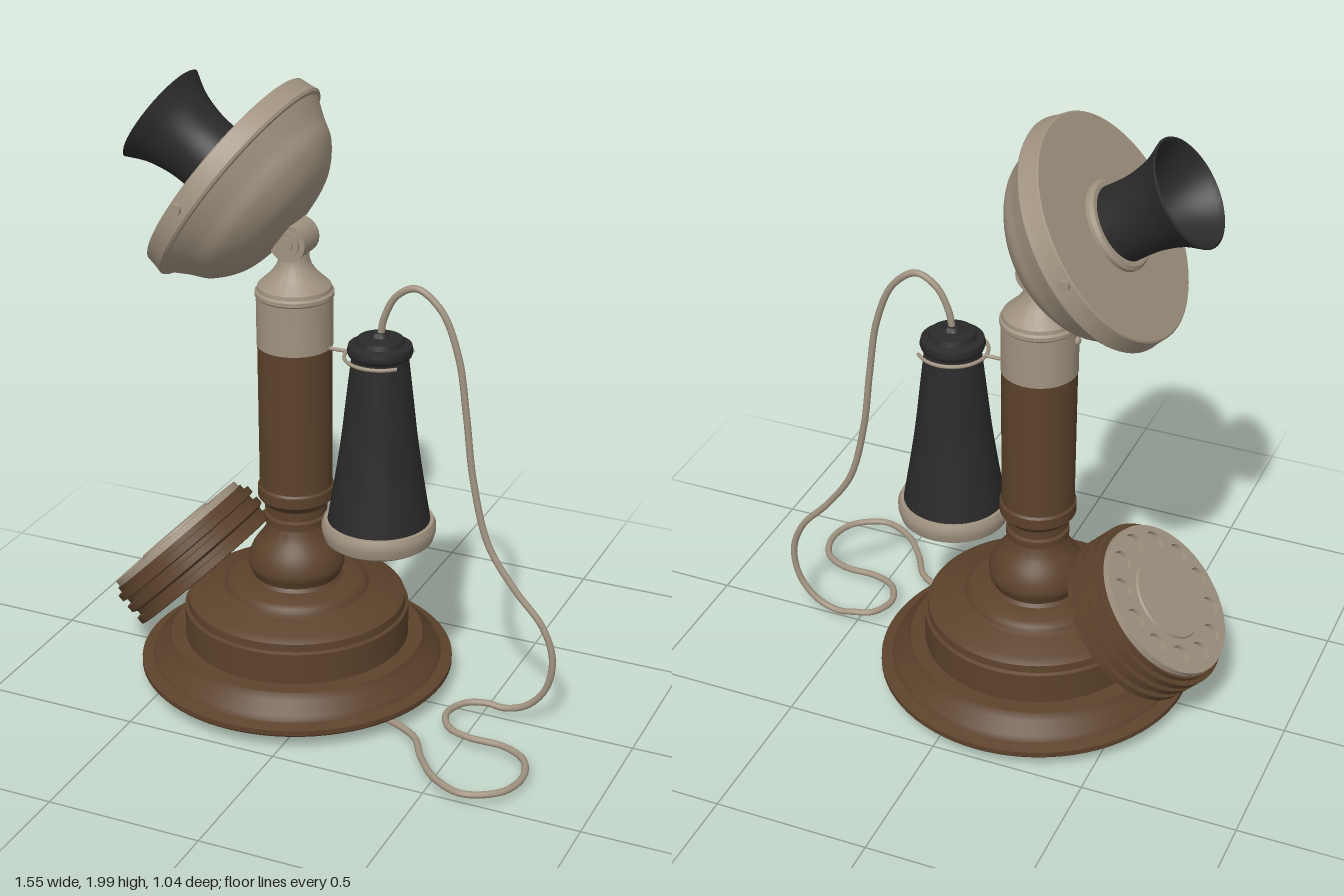
import * as THREE from 'three';
import { toCreasedNormals } from 'three/addons/utils/BufferGeometryUtils.js';

const brown = new THREE.MeshStandardMaterial({ color: 0x5c422b });
const beige = new THREE.MeshStandardMaterial({ color: 0xa09280 });
const black = new THREE.MeshStandardMaterial({ color: 0x2a2a2a });
brown.name = 'brown wood';
beige.name = 'beige metal';
black.name = 'black rubber';

const AXIS_X = -0.155, AXIS_Z = -0.014, RX = 0.132;

function add(parent, name, geometry, material, x = 0, y = 0, z = 0) {
  const mesh = new THREE.Mesh(geometry, material);
  mesh.name = name;
  mesh.position.set(x, y, z);
  parent.add(mesh);
  return mesh;
}

function group(parent, name, x, y, z, tilt = 0) {
  const g = new THREE.Group();
  g.name = name;
  g.position.set(x, y, z);
  g.rotation.z = tilt;
  parent.add(g);
  return g;
}

// Turned part from [radius, height] pairs, listed from bottom to top
function turned(points, segments = 64) {
  const pts = points.map(([r, y]) => new THREE.Vector2(r, y));
  return toCreasedNormals(new THREE.LatheGeometry(pts, segments), 0.6);
}

// Smooth [radius, height] pairs through a spline
function smooth(points, n = 24) {
  const curve = new THREE.SplineCurve(points.map(([r, y]) => new THREE.Vector2(r, y)));
  return curve.getPoints(n).map(p => [Math.max(p.x, 0), p.y]);
}

function tube(points, radius, segments) {
  const curve = new THREE.CatmullRomCurve3(points.map(p => new THREE.Vector3(...p)));
  return new THREE.TubeGeometry(curve, segments, radius, 10);
}

// Short pin lying along z
function pin(r, length) {
  return new THREE.CylinderGeometry(r, r, length, 24).rotateX(Math.PI / 2);
}

function addStand(root) {
  const stand = group(root, 'stand', AXIS_X, 0, AXIS_Z);
  add(stand, 'base', turned([
    [0, 0.055], [0.5, 0.055], [0.506, 0.062], [0.506, 0.078], [0.47, 0.088], [0.462, 0.105],
    [0.42, 0.135], [0.41, 0.158], [0.362, 0.162], [0.362, 0.265], [0.352, 0.27], [0.35, 0.295],
    [0.33, 0.31], [0.25, 0.325], [0.232, 0.335], [0.225, 0.35], [0.21, 0.36], [0.15, 0.368],
    [0.14, 0.38], [0, 0.38],
  ], 80), brown);
  add(stand, 'column', turned([
    [0, 0.37], [0.14, 0.375], ...smooth([[0.145, 0.39], [0.155, 0.42], [0.14, 0.47], [0.105, 0.52], [0.09, 0.555]], 14),
    [0.1, 0.56], [0.1, 0.585], [0.09, 0.59], [0.09, 0.6], [0.1, 0.605], [0.1, 0.625], [0.108, 0.635],
    [0.121, 0.65], [0.121, 0.685], [0.115, 0.692], [0.117, 1.17], [0, 1.17],
  ]), brown);
  add(stand, 'collar', turned([
    [0, 1.165], [0.119, 1.165], [0.119, 1.325], [0.123, 1.33], [0.123, 1.342], [0.116, 1.348],
    [0.114, 1.36], [0.095, 1.378], [0.072, 1.4], [0.055, 1.425], [0.046, 1.45], [0.046, 1.49], [0, 1.49],
  ]), beige);
  add(stand, 'collarButton', new THREE.SphereGeometry(0.015, 16, 10), beige, -0.117, 1.29, 0);

  // Hinge knuckle with a screw on both sides
  add(stand, 'hinge', pin(0.06, 0.108), beige, 0, 1.508, 0);
  for (const s of [-1, 1]) {
    add(stand, 'hingeWasher', pin(0.042, 0.012), beige, 0, 1.508, s * 0.056);
    add(stand, 'hingeScrew', pin(0.024, 0.012), beige, 0, 1.508, s * 0.064);
  }

  // Underside plate and feet
  add(stand, 'bottomPlate', turned([[0, 0.03], [0.425, 0.03], [0.435, 0.04], [0.46, 0.056], [0, 0.056]]), black);
  for (let i = 0; i < 4; i++) {
    const a = i * Math.PI / 2 + Math.atan2(0.295, 0.135);
    add(stand, 'foot', new THREE.CylinderGeometry(0.032, 0.026, 0.025, 24), black,
      Math.cos(a) * 0.324, 0.0175, Math.sin(a) * 0.324);
  }
}

function addTransmitter(root) {
  const head = group(root, 'transmitter', -0.386, 1.7, AXIS_Z, 0.97);
  add(head, 'transmitterShell', turned([
    ...smooth([[0, -0.278], [0.1, -0.27], [0.2, -0.245], [0.278, -0.188], [0.313, -0.13], [0.342, -0.085]], 30),
    [0.35, -0.072], [0.362, -0.07], [0.367, -0.062], [0.362, -0.04], [0.357, -0.004], [0.352, 0], [0, 0],
  ], 80), beige);
  add(head, 'mouthCollar', turned([[0, -0.01], [0.142, -0.01], [0.142, 0.012], [0.132, 0.022], [0, 0.022]]), beige);
  add(head, 'mouthpiece', turned([
    ...smooth([[0.118, 0], [0.116, 0.07], [0.121, 0.13], [0.139, 0.2], [0.171, 0.262]], 16),
    [0.165, 0.266],
    ...smooth([[0.16, 0.262], [0.128, 0.2], [0.108, 0.13], [0.1, 0.05]], 12),
    [0, 0.045],
  ]), black);
  for (const s of [-1, 1]) add(head, 'sideScrew', pin(0.018, 0.03), beige, 0, -0.025, s * 0.358);
}

function addDial(root) {
  const dial = group(root, 'dial', -0.595, 0.422, AXIS_Z, Math.PI / 4);
  // Ribbed housing
  const profile = [[0, -0.162], [0.274, -0.162]];
  for (const y of [-0.162, -0.112, -0.066]) {
    profile.push([0.278, y + 0.002], [0.278, y + 0.026], [0.262, y + 0.028], [0.262, y + 0.044]);
  }
  profile.push([0.262, -0.02], [0, -0.02]);
  add(dial, 'dialHousing', turned(profile), brown);
  add(dial, 'numberPlate', new THREE.CylinderGeometry(0.255, 0.255, 0.008, 64), beige, 0, -0.018, 0);

  // Finger wheel with round holes
  const wheel = new THREE.Shape().absarc(0, 0, 0.254, 0, Math.PI * 2);
  for (let i = 0; i < 12; i++) {
    const a = i * Math.PI / 6 + 0.24;
    wheel.holes.push(new THREE.Path().absarc(Math.cos(a) * 0.198, Math.sin(a) * 0.198, 0.036, 0, Math.PI * 2, true));
  }
  const plate = new THREE.ExtrudeGeometry(wheel, { depth: 0.016, bevelEnabled: false, curveSegments: 32 });
  add(dial, 'fingerWheel', toCreasedNormals(plate.rotateX(-Math.PI / 2), 0.6), beige, 0, -0.015, 0);
  add(dial, 'dialCentre', turned([[0, 0], [0.138, 0], [0.134, 0.008], [0, 0.008]]), beige);
}

function addReceiver(root) {
  const receiver = group(root, 'receiver', RX, 0, AXIS_Z);
  add(receiver, 'receiverBody', turned([
    [0, 0.61], ...smooth([[0.162, 0.618], [0.152, 0.68], [0.136, 0.78], [0.12, 0.89], [0.104, 1.03], [0.088, 1.17]], 20),
    [0.098, 1.178], [0.102, 1.19], [0.098, 1.208], [0.075, 1.215], [0.07, 1.23], [0.03, 1.238], [0.02, 1.25], [0, 1.25],
  ]), black);
  // Ear cap with a hollow underside
  add(receiver, 'earCap', turned([
    [0, 0.6], [0.1, 0.585], [0.115, 0.55], [0.158, 0.548], [0.172, 0.558],
    [0.18, 0.585], [0.18, 0.605], [0.172, 0.622], [0, 0.626],
  ]), beige);
  add(receiver, 'earGrille', turned([[0, 0.58], [0.108, 0.58], [0.108, 0.586], [0, 0.586]]), black);

  // Hook arm and open fork around the neck
  const fork = [];
  for (let i = 0; i <= 16; i++) {
    const a = 0.7 + i / 16 * (Math.PI * 2 - 1.4);
    fork.push([Math.cos(a) * 0.11, 1.168, Math.sin(a) * 0.11]);
  }
  add(receiver, 'hookFork', tube(fork, 0.006, 60), beige);
  add(receiver, 'hookArm', tube([[-0.29, 1.168, 0], [-0.2, 1.168, 0], [-0.108, 1.168, 0]], 0.006, 4), beige);
}

function addCord(root) {
  const drop = [
    [RX, 1.23], [0.145, 1.3], [0.185, 1.375], [0.25, 1.408], [0.33, 1.35], [0.388, 1.21], [0.418, 1.02],
    [0.445, 0.81], [0.5, 0.6], [0.59, 0.465], [0.685, 0.355], [0.722, 0.25], [0.705, 0.14], [0.645, 0.065], [0.57, 0.036],
  ].map(([x, y]) => [x, y, AXIS_Z]);
  const floor = [
    [0.51, -0.01], [0.45, 0.015], [0.417, 0.095], [0.455, 0.175], [0.53, 0.205], [0.65, 0.21], [0.73, 0.255],
    [0.764, 0.35], [0.735, 0.45], [0.63, 0.508], [0.525, 0.465], [0.44, 0.37], [0.38, 0.275], [0.3, 0.225], [0.2, 0.19],
  ].map(([x, z]) => [x, 0.042, z]);
  add(root, 'cord', tube([...drop, ...floor], 0.011, 260), beige);
}

export function createModel() {
  const root = new THREE.Group();
  root.name = 'candlestickTelephone';
  addStand(root);
  addTransmitter(root);
  addDial(root);
  addReceiver(root);
  addCord(root);
  return root;
}
